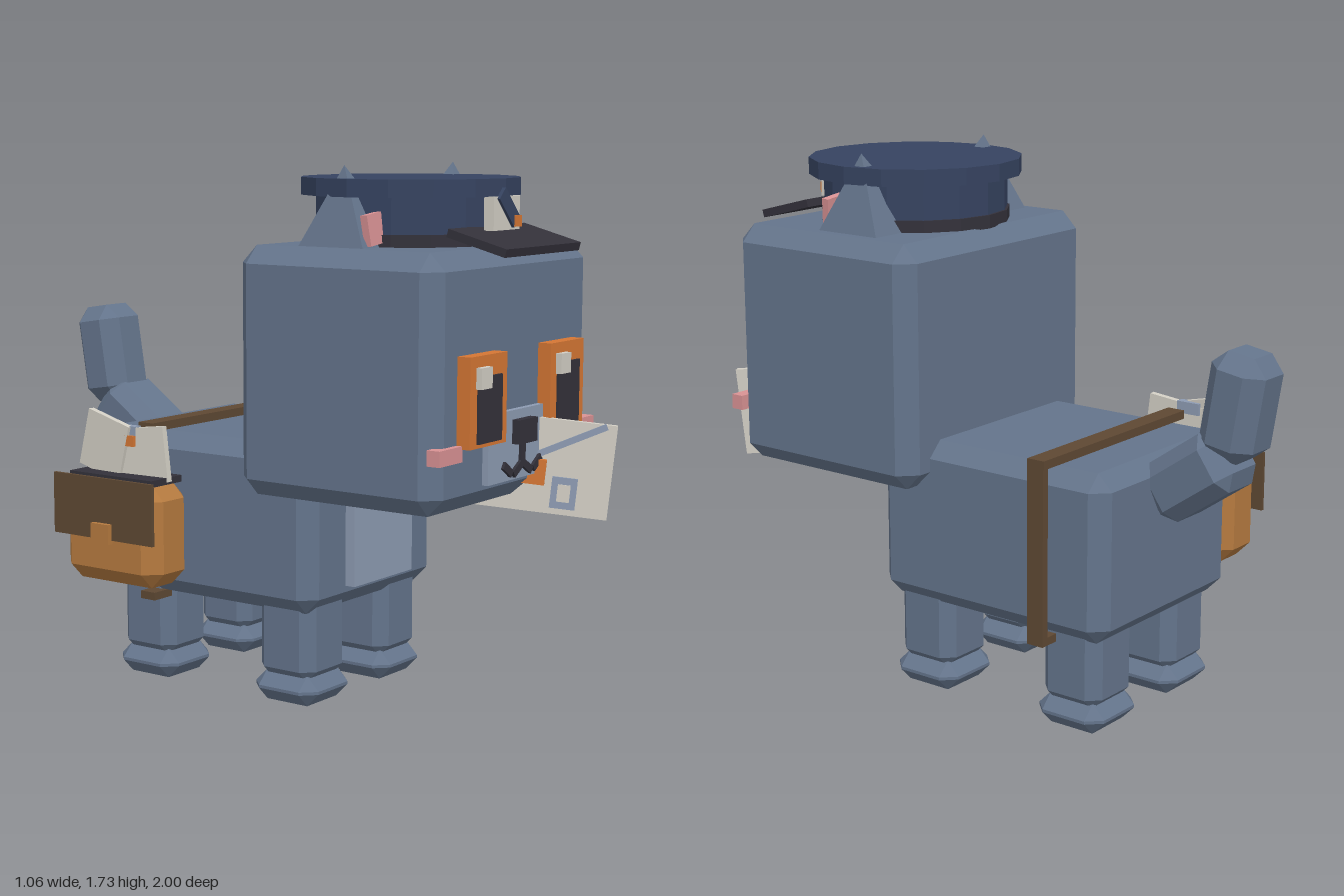
import * as THREE from 'three';
import { ConvexGeometry } from 'three/addons/geometries/ConvexGeometry.js';

const CX = 0.065; // mid-line of the animal; the pouch sits to one side

const paint = (name, color) => {
  const m = new THREE.MeshStandardMaterial({ color });
  m.name = name;
  m.flatShading = true;
  return m;
};

export function createModel() {
  const fur = paint('slateFur', 0x64748b);
  const paleFur = paint('paleFur', 0x8d9bb2);
  const navy = paint('navyCloth', 0x364360);
  const black = paint('black', 0x33313a);
  const orange = paint('orange', 0xd47634);
  const paper = paint('paper', 0xd2cec4);
  const pink = paint('pink', 0xd99294);
  const tan = paint('tanLeather', 0xb57a3f);
  const brown = paint('brownLeather', 0x5e4833);

  const model = new THREE.Group();
  model.name = 'courierCat';

  const add = (name, geometry, material, pos, rot = [0, 0, 0], parent = model) => {
    const mesh = new THREE.Mesh(geometry, material);
    mesh.name = name;
    mesh.position.set(...pos);
    mesh.rotation.set(...rot);
    parent.add(mesh);
    return mesh;
  };
  const box = (name, material, size, pos, rot, parent) =>
    add(name, new THREE.BoxGeometry(...size), material, pos, rot, parent);

  // Box with all edges cut at 45 degrees
  const chamferBox = (name, material, [w, h, d], c, pos, rot) => {
    const pts = [];
    for (const x of [-1, 1]) for (const y of [-1, 1]) for (const z of [-1, 1]) {
      const a = w / 2, b = h / 2, e = d / 2;
      pts.push(new THREE.Vector3(x * a, y * (b - c), z * (e - c)));
      pts.push(new THREE.Vector3(x * (a - c), y * b, z * (e - c)));
      pts.push(new THREE.Vector3(x * (a - c), y * (b - c), z * e));
    }
    return add(name, new ConvexGeometry(pts), material, pos, rot);
  };

  // Body and head
  chamferBox('body', fur, [0.72, 0.54, 0.885], 0.052, [CX, 0.58, -0.198]);
  box('chestPatch', paleFur, [0.33, 0.335, 0.035], [CX, 0.55, 0.262]);
  chamferBox('head', fur, [0.925, 0.78, 0.745], 0.055, [CX, 1.09, 0.395]);

  // Legs and paws
  for (const s of [-1, 1]) for (const z of [0.1, -0.48]) {
    chamferBox('leg', fur, [0.22, 0.3, 0.22], 0.04, [CX + s * 0.205, 0.225, z]);
    chamferBox('paw', fur, [0.25, 0.1, 0.25], 0.045, [CX + s * 0.205, 0.05, z]);
  }

  // Tail in two segments
  chamferBox('tailBase', fur, [0.22, 0.2, 0.31], 0.045, [CX, 0.806, -0.747], [0.61, 0, 0]);
  chamferBox('tailTip', fur, [0.2, 0.335, 0.19], 0.05, [CX, 1.045, -0.888], [-0.16, 0, 0]);

  // Ears: leaning pyramids with pink inner plates
  for (const s of [-1, 1]) {
    const pts = [new THREE.Vector3(s * 0.306, 0.25, 0.335)];
    for (const x of [0.14, 0.38]) for (const z of [0.213, 0.457]) pts.push(new THREE.Vector3(s * x, 0, z));
    add('ear', new ConvexGeometry(pts), fur, [CX, 1.475, 0]);
    box('innerEar', pink, [0.1, 0.095, 0.025], [CX + s * 0.305, 1.537, 0.448], [-0.1, 0, -s * 0.12]);
  }

  // Eyes and cheeks
  for (const s of [-1, 1]) {
    const ex = CX + s * 0.235;
    box('eye', orange, [0.208, 0.275, 0.05], [ex, 1.037, 0.788]);
    box('pupil', black, [0.132, 0.2, 0.008], [ex + 0.001, 1.012, 0.817]);
    box('eyeHighlight', paper, [0.06, 0.064, 0.02], [ex - 0.048, 1.11, 0.827]);
    box('cheek', pink, [0.125, 0.048, 0.045], [CX + s * 0.4, 0.886, 0.765]);
  }

  // Muzzle, nose and mouth
  box('muzzle', paleFur, [0.385, 0.215, 0.022], [CX, 0.877, 0.777]);
  box('nose', black, [0.107, 0.075, 0.03], [CX, 0.918, 0.8]);
  box('mouthLine', black, [0.025, 0.08, 0.012], [CX, 0.85, 0.792]);
  for (const s of [-1, 1]) {
    box('mouthInner', black, [0.064, 0.024, 0.012], [CX + s * 0.026, 0.803, 0.792], [0, 0, -s * 0.55]);
    box('mouthOuter', black, [0.056, 0.024, 0.012], [CX + s * 0.088, 0.806, 0.792], [0, 0, s * 0.6]);
  }

  // Cap
  const disc = (name, r, y0, y1, mat) =>
    add(name, new THREE.CylinderGeometry(r, r, y1 - y0, 16), mat, [CX, (y0 + y1) / 2, 0.373]);
  disc('capBand', 0.308, 1.475, 1.518, black);
  disc('capCrown', 0.3, 1.5, 1.635, navy);
  disc('capTop', 0.348, 1.63, 1.685, navy);
  box('capVisor', black, [0.445, 0.026, 0.21], [CX, 1.5, 0.755], [0.26, 0, 0]);
  box('capBadge', paper, [0.152, 0.103, 0.035], [CX, 1.58, 0.708]);
  box('badgeStripe', navy, [0.125, 0.048, 0.012], [CX + 0.003, 1.597, 0.729], [0, 0, -0.8]);
  box('badgeSeal', orange, [0.035, 0.035, 0.016], [CX + 0.046, 1.555, 0.733]);

  // Envelope held in the mouth
  const letter = new THREE.Group();
  letter.name = 'mouthLetter';
  letter.position.set(0.165, 0.798, 0.745);
  letter.rotation.set(0, -1.08, -0.1);
  model.add(letter);
  box('envelope', paper, [0.545, 0.3, 0.022], [0, 0, 0], [0, 0, 0], letter);
  for (const s of [-1, 1])
    box('envelopeFold', paleFur, [0.25, 0.02, 0.009], [s * 0.13, 0.085, 0.014], [0, 0, s * 0.5], letter);
  box('envelopeSeal', orange, [0.075, 0.08, 0.025], [0.03, -0.02, 0.02], [0, 0, 0], letter);
  box('stamp', paleFur, [0.08, 0.1, 0.008], [0.13, -0.08, 0.014], [0, 0, 0], letter);
  box('stampCentre', paper, [0.04, 0.055, 0.008], [0.13, -0.08, 0.017], [0, 0, 0], letter);

  // Strap around the body
  box('strapTop', brown, [0.76, 0.028, 0.062], [0.07, 0.864, -0.413]);
  box('strapBottom', brown, [0.75, 0.026, 0.06], [0.065, 0.298, -0.411]);
  box('strapSide', brown, [0.026, 0.592, 0.06], [0.437, 0.581, -0.411]);

  // Side pouch
  chamferBox('pouch', tan, [0.205, 0.34, 0.405], 0.052, [-0.408, 0.54, -0.415]);
  box('pouchOpening', black, [0.15, 0.022, 0.35], [-0.41, 0.715, -0.415]);
  box('pouchFlap', brown, [0.012, 0.2, 0.42], [-0.513, 0.622, -0.42]);
  box('pouchClasp', tan, [0.022, 0.065, 0.075], [-0.525, 0.543, -0.418]);

  // Letters sticking out of the pouch
  box('pouchLetterFront', paper, [0.022, 0.18, 0.2], [-0.405, 0.79, -0.345], [-0.12, 0.06, 0]);
  box('pouchLetterBack', paper, [0.022, 0.19, 0.19], [-0.412, 0.81, -0.495], [0.24, -0.08, 0]);
  box('pouchLetterStamp', paleFur, [0.03, 0.04, 0.085], [-0.405, 0.862, -0.405]);
  box('pouchLetterSeal', orange, [0.014, 0.035, 0.035], [-0.423, 0.835, -0.38]);

  return model;
}
